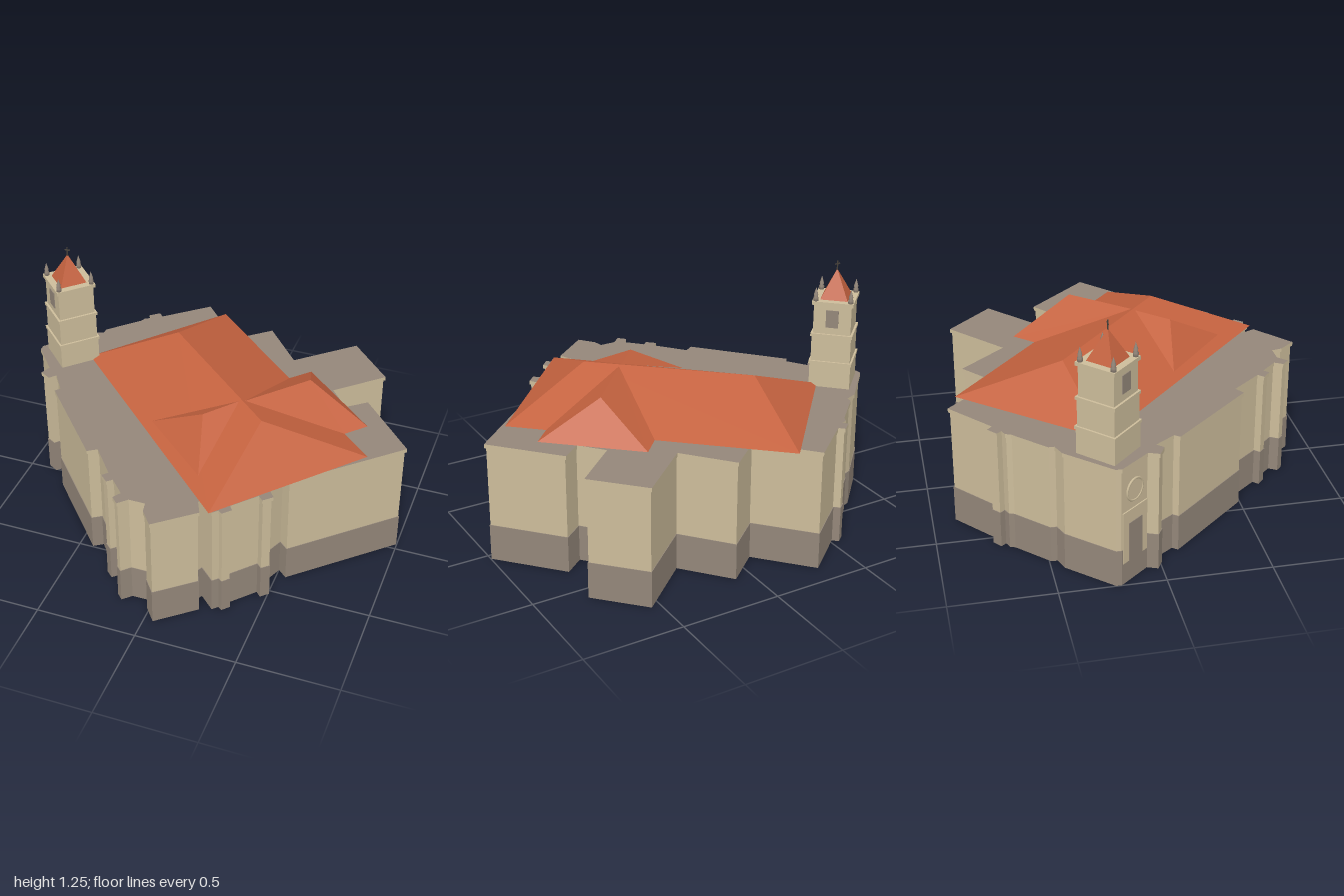
import * as THREE from 'three';

const mat = (name, color) => Object.assign(new THREE.MeshStandardMaterial({ color }), { name });

export function createModel() {
  const wall = mat('pale wall stone', 0xcdbd9b);
  const stone = mat('grey stone', 0x94877a);
  const tile = mat('terracotta tile', 0xc4623f);
  const iron = mat('dark iron', 0x4a443c);
  tile.side = THREE.DoubleSide;

  const model = new THREE.Group();
  model.name = 'church';
  const add = (name, geo, material, parent = model) => {
    const m = new THREE.Mesh(geo, material);
    m.name = name;
    parent.add(m);
    return m;
  };

  // Footprint as [x, z], starting at the west corner and running past the north side
  const plan = [
    [-0.995, -0.235], [-0.81, -0.435], [-0.745, -0.46], [-0.745, -0.49],
    [-0.60, -0.635], [-0.59, -0.66], [-0.555, -0.675], [-0.575, -0.70], [-0.54, -0.73], [-0.515, -0.705],
    [-0.305, -0.885], [-0.08, -0.635], [0.085, -0.775], [0.275, -0.55],
    [0.545, -0.79], [0.75, -0.575], [0.53, -0.375], [0.635, -0.25], [0.73, -0.325],
    [0.993, -0.035], [0.545, 0.38], [0.50, 0.34], [0.45, 0.46],
    [0.48, 0.49], [0.502, 0.52], [0.47, 0.55], [0.445, 0.525],
    [0.335, 0.645], [0.353, 0.67], [0.325, 0.70], [0.305, 0.685], [0.28, 0.71],
    [0.205, 0.64], [0.19, 0.67], [0.22, 0.735],
    [0.045, 0.88], [-0.01, 0.81], [-0.02, 0.755], [-0.11, 0.755],
    [-0.15, 0.795], [-0.175, 0.77], [-0.15, 0.73],
    [-0.23, 0.645], [-0.255, 0.668], [-0.285, 0.64], [-0.26, 0.615],
    [-0.385, 0.46], [-0.43, 0.49], [-0.77, 0.105], [-0.75, 0.08],
    [-0.825, -0.03], [-0.855, 0.005], [-0.90, -0.02], [-0.88, -0.07], [-0.995, -0.21],
  ];

  // Moves the outline outwards by d, with limited mitres
  const outset = (pts, d) => pts.map((p, i) => {
    const a = pts[(i + pts.length - 1) % pts.length], b = pts[(i + 1) % pts.length];
    const normal = (u, v) => new THREE.Vector2(v[1] - u[1], u[0] - v[0]).normalize();
    const n1 = normal(a, p), n2 = normal(p, b);
    const k = d / Math.max(0.5, 1 + n1.dot(n2));
    return [p[0] + (n1.x + n2.x) * k, p[1] + (n1.y + n2.y) * k];
  });
  const slab = (pts, y0, y1) => {
    const shape = new THREE.Shape(pts.map(([x, z]) => new THREE.Vector2(x, -z)));
    return new THREE.ExtrudeGeometry(shape, { depth: y1 - y0, bevelEnabled: false })
      .rotateX(-Math.PI / 2).translate(0, y0, 0);
  };
  add('plinth', slab(outset(plan, 0.003), 0, 0.185), stone);
  add('walls', slab(plan, 0.185, 0.592), wall);
  add('cornice', slab(outset(plan, 0.007), 0.592, 0.612), [stone, wall]);

  // Roof faces: each polygon is fanned into triangles
  const faces = (polys) => {
    const v = [];
    for (const p of polys)
      for (let i = 1; i < p.length - 1; i++) v.push(...p[0], ...p[i + 1], ...p[i]);
    const g = new THREE.BufferGeometry();
    g.setAttribute('position', new THREE.Float32BufferAttribute(v, 3));
    g.computeVertexNormals();
    return g;
  };
  const E = 0.614, R = 0.795;
  const north = [-0.20, E, -0.85], east = [0.84, E, 0.09], south = [0.27, E, 0.73], west = [-0.73, E, -0.235];
  const ridgeA = [-0.28, R, -0.345], ridgeB = [0.35, R, 0.22];
  add('mainRoof', faces([
    [north, east, ridgeB, ridgeA], [east, south, ridgeB],
    [south, west, ridgeA, ridgeB], [west, north, ridgeA],
  ]), tile);

  // Transept roof on the north-east side
  const t0 = [0.225, 0.79, 0.09], t1 = [0.47, 0.787, -0.185];
  const tN = [0.39, E, -0.49], tE = [0.78, E, -0.14], vN = [0.30, E, -0.395], vE = [0.69, E, -0.045];
  add('northEastTranseptRoof', faces([[t0, vN, tN, t1], [tN, tE, t1], [t1, tE, vE, t0]]), tile);

  // Smaller transept roof on the south-west side
  const s0 = [0.2, 0.792, 0.105], s1 = [0.07, 0.787, 0.255];
  const sW = [-0.21, 0.642, 0.21], sS = [0.145, 0.642, 0.525];
  add('southWestTranseptRoof', faces([[s0, s1, sW], [sW, s1, sS], [sS, s1, s0]]), tile);

  // Tower: square tiers turned corner-on, sized by half diagonal
  const tower = new THREE.Group();
  tower.name = 'tower';
  tower.position.set(-0.825, 0, -0.235);
  model.add(tower);
  const tier = (name, r0, r1, y0, y1, material = wall) => {
    const g = new THREE.CylinderGeometry(r1, r0, y1 - y0, 4).toNonIndexed();
    g.computeVertexNormals();
    return add(name, g.translate(0, (y0 + y1) / 2, 0), material, tower);
  };
  tier('towerLowerTier', 0.145, 0.145, 0.6, 0.735);
  tier('towerLowerLedge', 0.152, 0.152, 0.735, 0.75);
  tier('towerMiddleTier', 0.139, 0.139, 0.75, 0.88);
  tier('towerMiddleLedge', 0.147, 0.147, 0.88, 0.895);
  tier('belfry', 0.132, 0.132, 0.895, 1.045);
  tier('belfryCornice', 0.145, 0.145, 1.045, 1.063);
  tier('towerRoof', 0.096, 0.001, 1.063, 1.205, tile);

  // Corner pinnacles
  for (let i = 0; i < 4; i++) {
    const a = i * Math.PI / 2;
    const profile = [[0, 0], [0.013, 0], [0.013, 0.02], [0.009, 0.026], [0.011, 0.036], [0, 0.073]]
      .map(([x, y]) => new THREE.Vector2(x, y));
    const g = new THREE.LatheGeometry(profile, 8);
    add('pinnacle', g, stone, tower).position.set(Math.cos(a) * 0.122, 1.06, Math.sin(a) * 0.122);
  }

  // Roof cross
  add('crossPost', new THREE.BoxGeometry(0.005, 0.052, 0.005), iron, tower).position.y = 1.222;
  add('crossArm', new THREE.BoxGeometry(0.028, 0.005, 0.005), iron, tower).position.y = 1.232;

  // Belfry windows on the south-west and north-east faces
  for (const s of [-1, 1]) {
    const w = add('belfryWindow', new THREE.BoxGeometry(0.062, 0.09, 0.006), stone, tower);
    w.position.set(s * 0.0665, 0.975, -s * 0.0665);
    w.rotation.y = Math.atan2(s, -s);
  }

  // Entrance front below the tower
  const front = new THREE.Group();
  front.name = 'entranceFront';
  front.position.set(-0.9375, 0, -0.14);
  front.rotation.y = Math.atan2(-0.773, 0.635);
  model.add(front);
  add('entrancePanel', new THREE.BoxGeometry(0.17, 0.265, 0.008), wall, front).position.set(0, 0.2425, 0.002);
  add('door', new THREE.BoxGeometry(0.095, 0.2, 0.008), stone, front).position.set(0, 0.21, 0.005);
  add('roundWindow', new THREE.CircleGeometry(0.05, 24), wall, front).position.set(0, 0.467, 0.004);
  add('roundWindowFrame', new THREE.TorusGeometry(0.054, 0.006, 6, 24), wall, front).position.set(0, 0.467, 0.002);

  return model;
}
